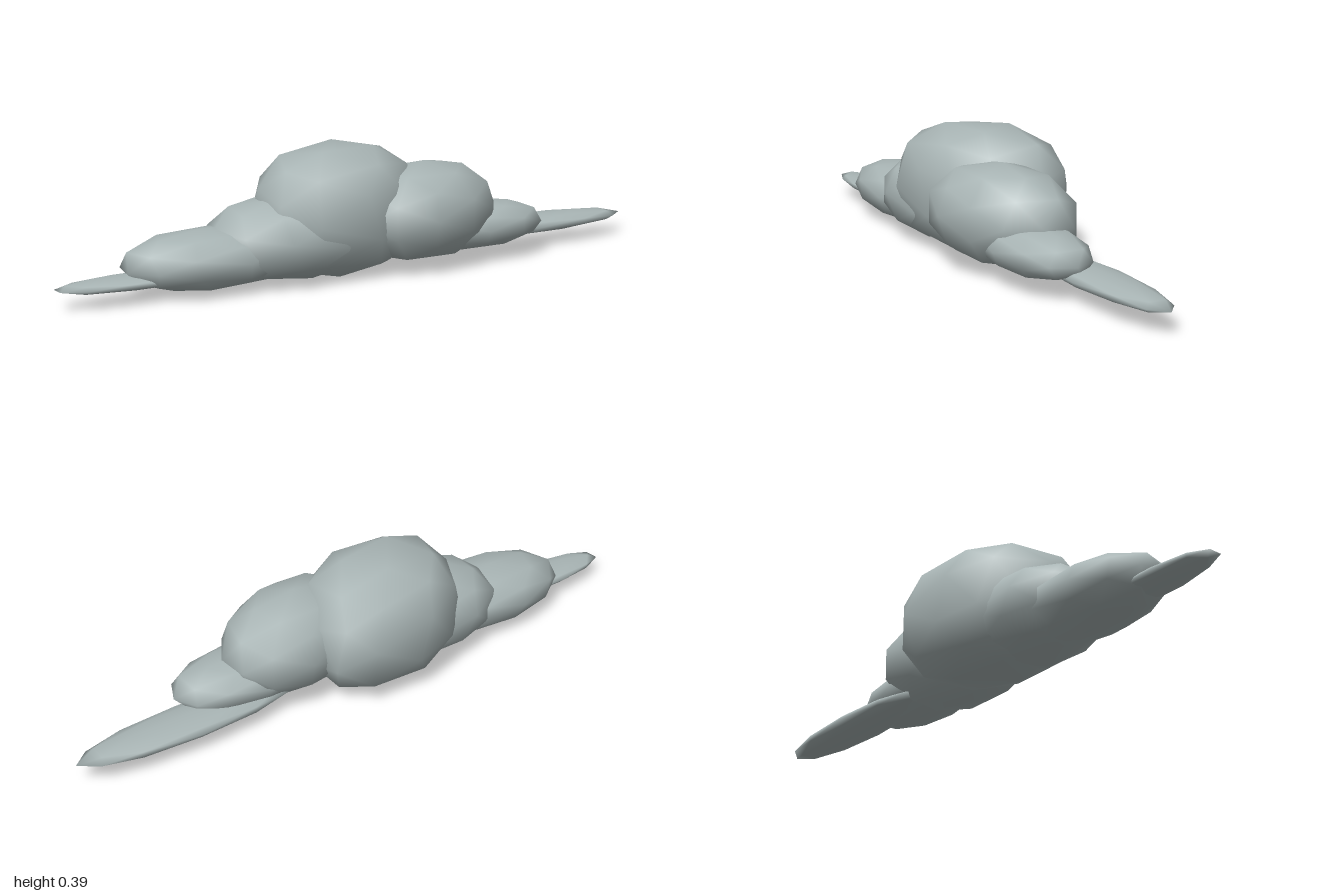
import * as THREE from 'three';
import { mergeVertices } from 'three/addons/utils/BufferGeometryUtils.js';

// Low-poly smooth puff: turned, squared off, leaned (x against z) and fitted to the box lo..hi
function puffGeometry(lo, hi, turn, square, lean) {
  let geo = new THREE.IcosahedronGeometry(1, 1);
  geo.deleteAttribute('uv');
  geo.deleteAttribute('normal');
  geo = mergeVertices(geo, 1e-4);
  geo.rotateX(turn[0]).rotateY(turn[1]).rotateZ(turn[2]);

  const pos = geo.attributes.position;
  const v = new THREE.Vector3();
  const bend = (t) => Math.sign(t) * Math.pow(Math.abs(t), square);
  for (let i = 0; i < pos.count; i++) {
    v.fromBufferAttribute(pos, i);
    pos.setXYZ(i, bend(v.x) - lean * bend(v.z), bend(v.y), bend(v.z));
  }

  geo.computeBoundingBox();
  const { min, max } = geo.boundingBox;
  const fit = (t, k, axis) => lo[k] + ((t - min[axis]) / (max[axis] - min[axis])) * (hi[k] - lo[k]);
  for (let i = 0; i < pos.count; i++) {
    v.fromBufferAttribute(pos, i);
    pos.setXYZ(i, fit(v.x, 0, 'x'), fit(v.y, 1, 'y'), fit(v.z, 2, 'z'));
  }
  geo.computeVertexNormals();
  return geo;
}

export function createModel() {
  const group = new THREE.Group();
  group.name = 'cloud';
  const cloudGrey = new THREE.MeshStandardMaterial({ color: 0xa9b5b5 });
  cloudGrey.name = 'cloudGrey';

  // name, lower corner, upper corner, turn, squareness (1 = round), lean
  const puffs = [
    ['centrePuff', [-0.36, 0.0, -0.24], [0.205, 0.392, 0.19], [0.3, 0.2, 0.25], 0.82, 0.18],
    ['leftPuff', [-0.07, 0.02, -0.14], [0.45, 0.33, 0.235], [0, 0, 0], 0.95, 0.2],
    ['leftSmallPuff', [0.1, 0.035, -0.09], [0.625, 0.182, 0.172], [0, 0, 0], 0.92, 0],
    ['leftWisp', [0.24, 0.038, -0.112], [0.995, 0.095, 0.055], [0, 0, 0], 0.97, 0],
    ['rightPuff', [-0.51, 0.01, -0.18], [0.02, 0.26, 0.185], [0.2, 0.3, 0.3], 0.9, 0],
    ['rightSmallPuff', [-0.79, 0.008, -0.145], [-0.23, 0.188, 0.152], [0, 0.2, 0.1], 0.93, 0],
    ['rightWisp', [-1.0, 0.04, -0.052], [-0.45, 0.08, 0.082], [0, 0.3, 0], 0.9, 0],
  ];
  for (const [name, lo, hi, turn, square, lean] of puffs) {
    const mesh = new THREE.Mesh(puffGeometry(lo, hi, turn, square, lean), cloudGrey);
    mesh.name = name;
    group.add(mesh);
  }
  return group;
}
